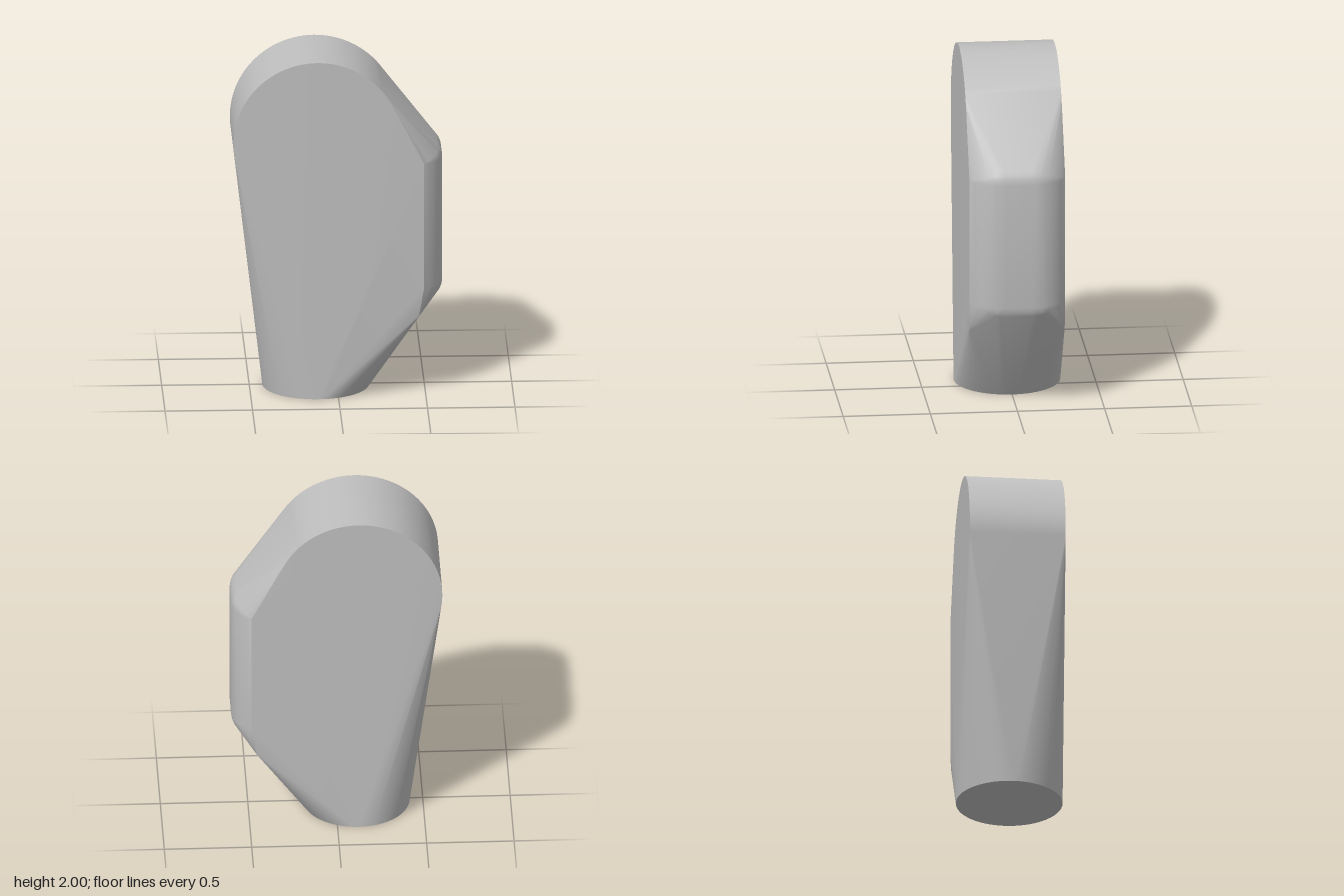
import * as THREE from 'three';
import { ConvexGeometry } from 'three/addons/geometries/ConvexGeometry.js';
import { toCreasedNormals } from 'three/addons/utils/BufferGeometryUtils.js';

const HALF = 0.275; // half thickness of the upper body

// Points around a circle, placed by a callback
function ring(count, place) {
  return Array.from({ length: count }, (_, i) => {
    const a = (i / count) * Math.PI * 2;
    return place(Math.cos(a), Math.sin(a));
  });
}

export function createModel() {
  const group = new THREE.Group();
  const grey = new THREE.MeshStandardMaterial({ color: 0xbebebe });
  grey.name = 'grey';

  const points = [];

  // Round head: a cylinder running front to back
  for (const z of [-HALF, HALF]) {
    points.push(...ring(72, (c, s) => new THREE.Vector3(-0.12 + 0.48 * c, 1.52 + 0.48 * s, z)));
  }

  // Round foot
  points.push(...ring(64, (c, s) => new THREE.Vector3(-0.12 + 0.305 * c, 0, 0.305 * s)));

  // Bulging side edge: flat in the middle, rounded towards front, back and both ends
  const flat = 0.08, radius = 0.222;
  for (const side of [-1, 1]) {
    for (let i = 0; i < 10; i++) {
      const a = (i / 10) * 1.07;
      const z = side * (flat + radius * Math.sin(a));
      const bulge = 0.6 - radius * (1 - Math.cos(a)) - 0.49;
      for (let j = 0; j <= 6; j++) {
        const t = (j / 6) * Math.PI / 2;
        const x = 0.49 + bulge * Math.cos(t), rise = bulge * Math.sin(t);
        points.push(new THREE.Vector3(x, 1.385 + rise, z), new THREE.Vector3(x, 0.65 - rise, z));
      }
    }
    // Sharp corners of the side edge and the lower chamfer
    points.push(
      new THREE.Vector3(0.49, 1.39, side * HALF),
      new THREE.Vector3(0.49, 0.65, side * HALF),
      new THREE.Vector3(0.46, 0.48, side * HALF),
    );
  }

  // One convex skin over all sections, smooth except at the hard edges
  const body = new THREE.Mesh(toCreasedNormals(new ConvexGeometry(points), 0.5), grey);
  body.name = 'body';
  group.add(body);
  return group;
}
